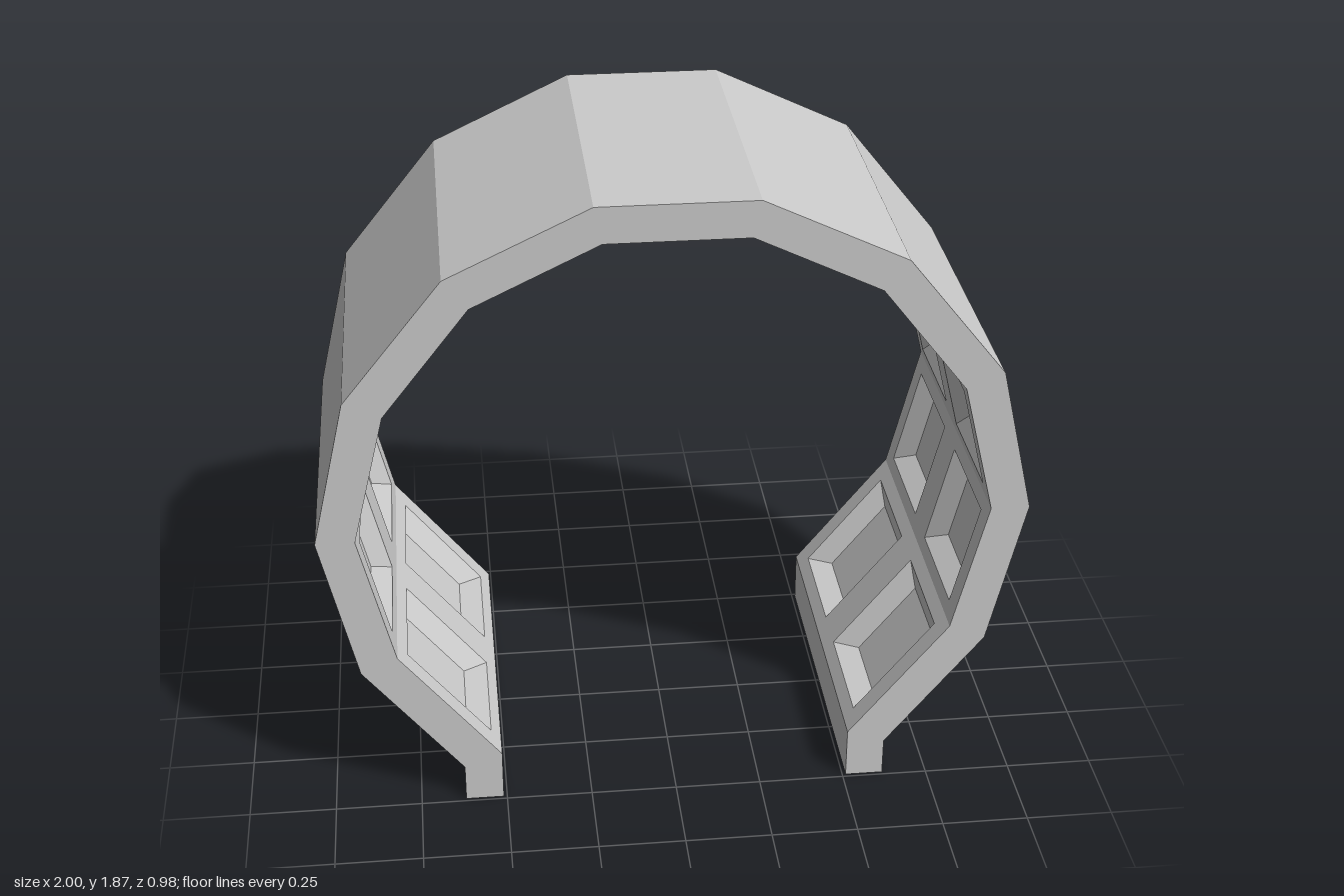
import * as THREE from 'three';

const HALF = 0.49; // half the depth of the arch along z

// Right half of the cross-section, from the foot to the crown
const OUTER = [[0.62, 0], [0.62, 0.115], [0.9, 0.465], [1, 0.9], [0.9, 1.33], [0.62, 1.68], [0.22, 1.87]];
const INNER = [[0.51, 0], [0.51, 0.155], [0.795, 0.51], [0.89, 0.9], [0.795, 1.285], [0.552, 1.595], [0.198, 1.765]];

const fullPath = half => [...half, ...half.map(([x, y]) => [-x, y]).reverse()];

// Collects four-cornered faces into one flat-shaded mesh
function faceMesh(name, build) {
  const pos = [];
  const quad = (a, b, c, d) => [a, b, c, a, c, d].forEach(p => pos.push(...p));
  build(quad);
  const geo = new THREE.BufferGeometry();
  geo.setAttribute('position', new THREE.Float32BufferAttribute(pos, 3));
  geo.computeVertexNormals();
  const mesh = new THREE.Mesh(geo, new THREE.MeshStandardMaterial({ color: 0xcccccc, flatShading: true }));
  mesh.name = name;
  return mesh;
}

// Outer skin, end faces and soles of the feet
function buildShell(quad) {
  const out = fullPath(OUTER), inn = fullPath(INNER), last = out.length - 1;
  const at = (p, z) => [p[0], p[1], z];
  for (let i = 0; i < last; i++) {
    const o0 = out[i], o1 = out[i + 1], i0 = inn[i], i1 = inn[i + 1];
    quad(at(o0, -HALF), at(o1, -HALF), at(o1, HALF), at(o0, HALF));
    quad(at(o0, HALF), at(o1, HALF), at(i1, HALF), at(i0, HALF));
    quad(at(i0, -HALF), at(i1, -HALF), at(o1, -HALF), at(o0, -HALF));
  }
  for (const [a, b] of [[inn[0], out[0]], [out[last], inn[last]]]) {
    quad(at(a, -HALF), at(b, -HALF), at(b, HALF), at(a, HALF));
  }
}

// Inner lining: two sunken coffers on every facet above the feet
function buildLining(quad) {
  const inn = fullPath(INNER), last = inn.length - 2;
  const depth = 0.05, inset = 0.05;
  const zs = [-HALF, -0.42, -0.07, 0.07, 0.42, HALF];
  for (let i = 0; i <= last; i++) {
    const [x0, y0] = inn[i], [x1, y1] = inn[i + 1];
    const len = Math.hypot(x1 - x0, y1 - y0);
    const dx = (x1 - x0) / len, dy = (y1 - y0) / len;
    const at = (s, z, sink = 0) => [x0 + dx * s + dy * sink, y0 + dy * s - dx * sink, z];
    const panel = (s0, s1, z0, z1, sink = 0) =>
      [at(s0, z0, sink), at(s0, z1, sink), at(s1, z1, sink), at(s1, z0, sink)];
    if (i === 0 || i === last) {
      quad(...panel(0, len, -HALF, HALF));
      continue;
    }
    const ss = [0, 0.045, len - 0.045, len];
    for (let a = 0; a < 3; a++) {
      for (let b = 0; b < 5; b++) {
        const rim = panel(ss[a], ss[a + 1], zs[b], zs[b + 1]);
        if (a !== 1 || b % 2 === 0) {
          quad(...rim);
          continue;
        }
        const floor = panel(ss[a] + inset, ss[a + 1] - inset, zs[b] + inset, zs[b + 1] - inset, depth);
        quad(...floor);
        for (let k = 0; k < 4; k++) {
          const n = (k + 1) % 4;
          quad(rim[k], rim[n], floor[n], floor[k]);
        }
      }
    }
  }
}

// Square flared lamp, pointing from the wall towards the middle of the arch
function makeLamp(name, side) {
  const profile = [[0.045, -0.02], [0.045, 0.012], [0.02, 0.022], [0.022, 0.032], [0.073, 0.072], [0.024, 0.045], [0, 0.055]];
  const geo = new THREE.LatheGeometry(
    profile.map(([half, y]) => new THREE.Vector2(half * Math.SQRT2, y)), 4, Math.PI / 4);
  const lamp = new THREE.Mesh(geo, new THREE.MeshStandardMaterial({
    color: 0xcccccc, flatShading: true, side: THREE.DoubleSide }));
  lamp.name = name;
  lamp.position.set(side * 0.552, 1.595, 0);
  lamp.rotation.z = side * Math.atan2(0.62, -0.78);
  return lamp;
}

export function createModel() {
  const model = new THREE.Group();
  model.name = 'cofferedArch';
  model.add(
    faceMesh('archShell', buildShell),
    faceMesh('cofferedLining', buildLining),
    makeLamp('leftLamp', 1),
    makeLamp('rightLamp', -1),
  );
  return model;
}
